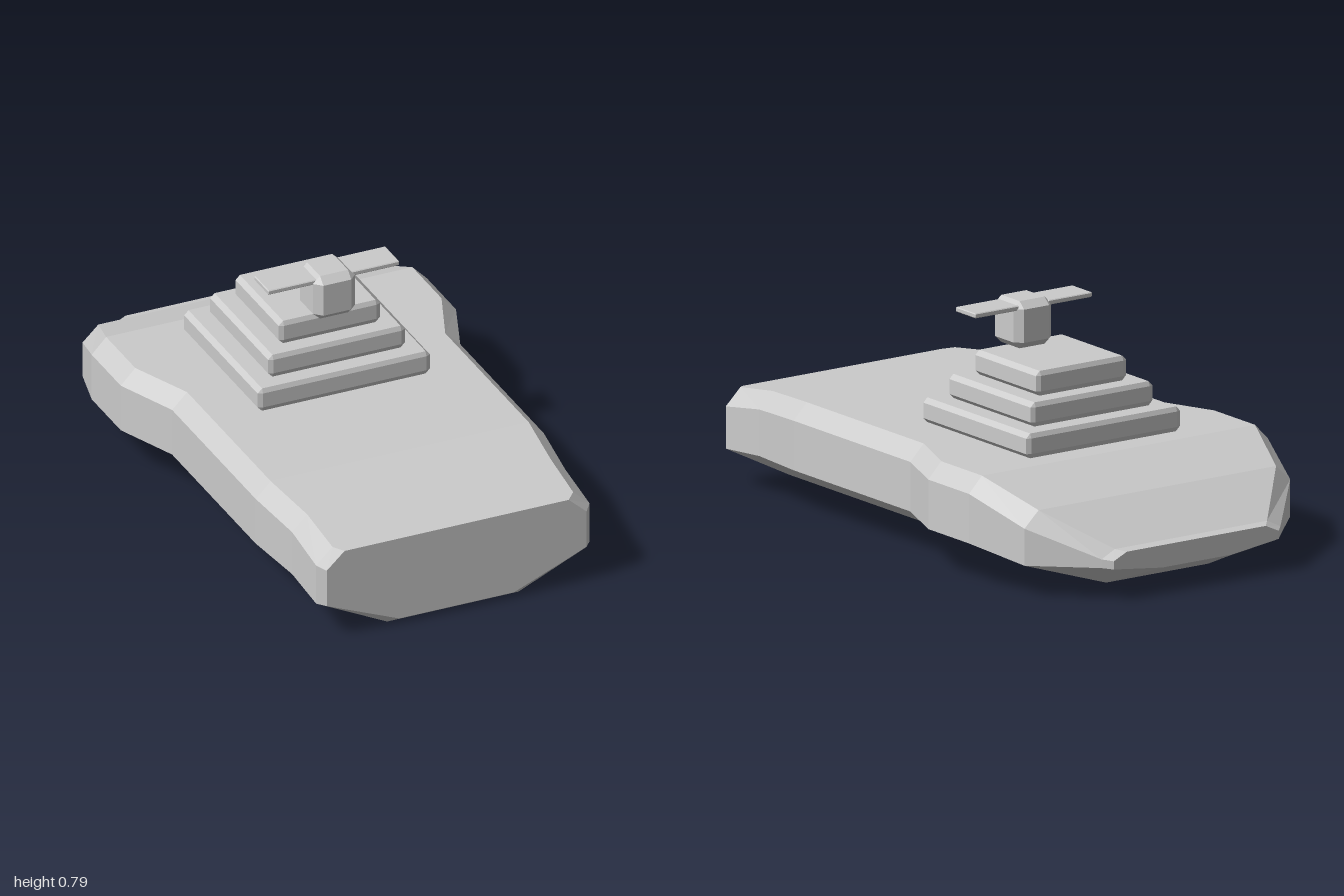
import * as THREE from 'three';
import { ConvexGeometry } from 'three/addons/geometries/ConvexGeometry.js';

const material = new THREE.MeshStandardMaterial({ color: 0xcccccc, flatShading: true });

// Box with cut edges, given by its limits and the cut along each axis
function chamferedBox(name, [x0, x1], [y0, y1], [z0, z1], [cx, cy, cz]) {
  const hx = (x1 - x0) / 2, hy = (y1 - y0) / 2, hz = (z1 - z0) / 2;
  const points = [];
  for (const sx of [-1, 1]) for (const sy of [-1, 1]) for (const sz of [-1, 1]) {
    points.push(
      new THREE.Vector3(sx * hx, sy * (hy - cy), sz * (hz - cz)),
      new THREE.Vector3(sx * (hx - cx), sy * hy, sz * (hz - cz)),
      new THREE.Vector3(sx * (hx - cx), sy * (hy - cy), sz * hz));
  }
  const mesh = new THREE.Mesh(new ConvexGeometry(points), material);
  mesh.position.set((x0 + x1) / 2, (y0 + y1) / 2, (z0 + z1) / 2);
  mesh.name = name;
  return mesh;
}

// Hull stations: z, side half-width, deck half-width, keel half-width,
// then heights of deck, shoulder, lower side edge and keel
const stations = [
  [1.00, 0.475, 0.41, 0.21, 0.325, 0.265, 0.13, 0.02],
  [0.97, 0.50, 0.44, 0.24, 0.332, 0.275, 0.13, 0],
  [0.78, 0.50, 0.445, 0.24, 0.36, 0.305, 0.145, 0],
  [0.55, 0.527, 0.472, 0.24, 0.375, 0.32, 0.15, 0],
  [-0.11, 0.527, 0.472, 0.24, 0.375, 0.32, 0.15, 0],
  [-0.33, 0.613, 0.56, 0.24, 0.375, 0.32, 0.15, 0],
  [-0.56, 0.613, 0.56, 0.24, 0.375, 0.32, 0.15, 0],
  [-0.78, 0.545, 0.487, 0.21, 0.292, 0.237, 0.11, 0],
  [-0.97, 0.367, 0.312, 0.15, 0.172, 0.145, 0.115, 0.075],
  [-1.00, 0.338, 0.285, 0.14, 0.165, 0.14, 0.112, 0.088],
];

function hullGeometry() {
  const positions = [], index = [], n = 8;
  for (const [z, side, deck, keel, yDeck, yShoulder, ySide, yKeel] of stations) {
    const half = [[keel, yKeel], [side, ySide], [side, yShoulder], [deck, yDeck]];
    const ring = [...half, ...half.map(([x, y]) => [-x, y]).reverse()];
    for (const [x, y] of ring) positions.push(x, y, z);
  }
  // Skin between stations, running from bow to stern
  for (let s = 0; s < stations.length - 1; s++) {
    for (let i = 0; i < n; i++) {
      const a = s * n + i, b = s * n + (i + 1) % n;
      index.push(a, a + n, b, b, a + n, b + n);
    }
  }
  // End caps
  const last = (stations.length - 1) * n;
  for (let i = 1; i < n - 1; i++) {
    index.push(0, i, i + 1);
    index.push(last, last + i + 1, last + i);
  }
  const geometry = new THREE.BufferGeometry();
  geometry.setAttribute('position', new THREE.Float32BufferAttribute(positions, 3));
  geometry.setIndex(index);
  const flat = geometry.toNonIndexed();
  flat.computeVertexNormals();
  return flat;
}

export function createModel() {
  const model = new THREE.Group();
  model.name = 'ship';

  const hull = new THREE.Mesh(hullGeometry(), material);
  hull.name = 'hull';
  model.add(hull);

  // Stepped tower: half-width, bottom, top, back, front
  const tower = new THREE.Group();
  tower.name = 'tower';
  [
    [0.315, 0.375, 0.46, -0.48, 0.115],
    [0.25, 0.46, 0.543, -0.415, 0.057],
    [0.185, 0.543, 0.628, -0.355, 0],
  ].forEach(([w, y0, y1, z0, z1], i) => {
    tower.add(chamferedBox(`towerTier${i + 1}`, [-w, w], [y0, y1], [z0, z1], [0.016, 0.016, 0.007]));
  });
  model.add(tower);

  // Bridge block with a thin wing on each side
  const bridge = new THREE.Group();
  bridge.name = 'bridge';
  bridge.add(chamferedBox('bridgeBlock', [-0.077, 0.077], [0.628, 0.79], [-0.098, 0.057], [0.026, 0.024, 0.026]));
  for (const [name, limits] of [['leftWing', [0.06, 0.24]], ['rightWing', [-0.24, -0.06]]]) {
    bridge.add(chamferedBox(name, limits, [0.761, 0.778], [-0.082, 0.03], [0.003, 0.003, 0.003]));
  }
  model.add(bridge);

  return model;
}
